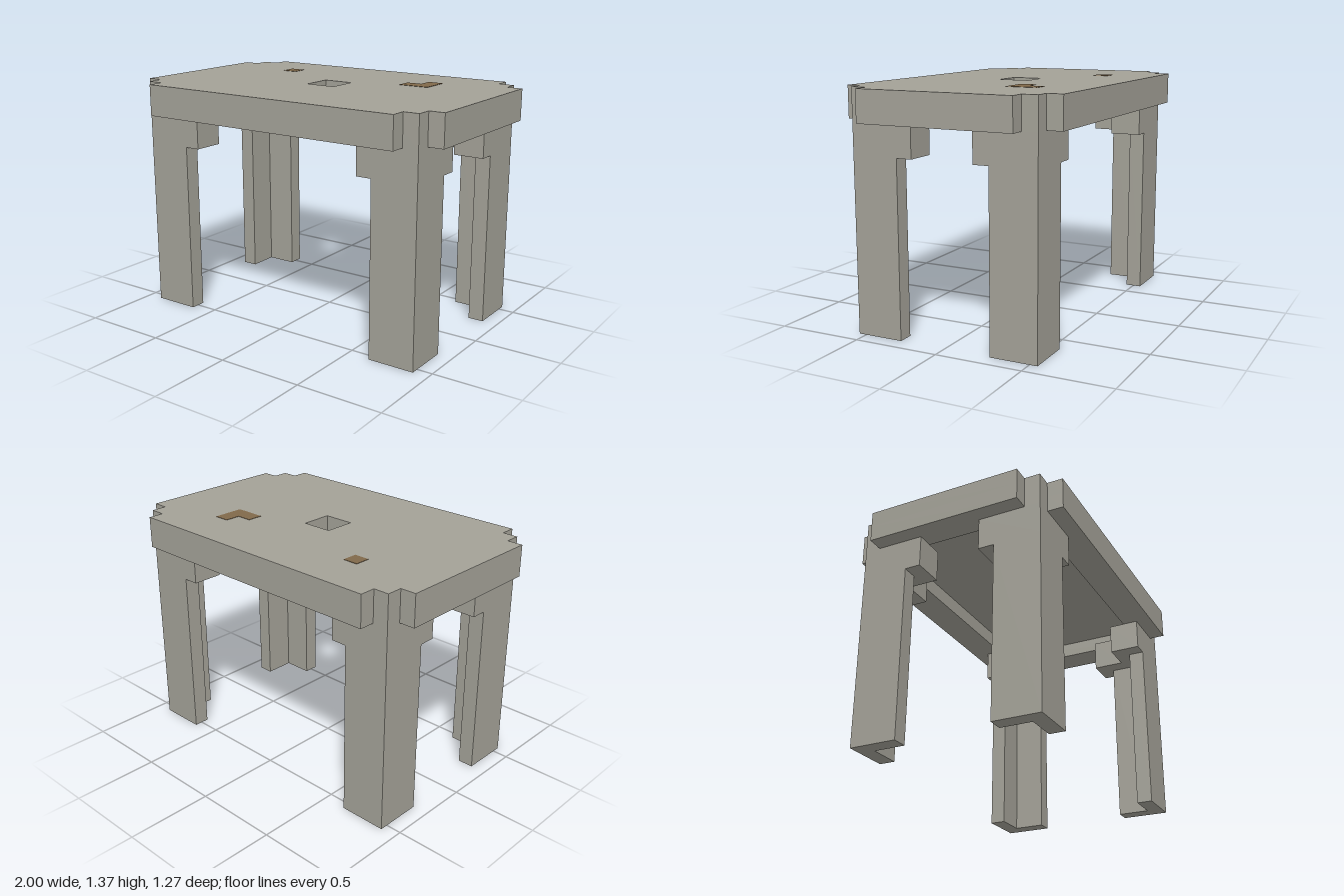
import * as THREE from 'three';

const U = 1 / 11; // one block

export function createModel() {
  const model = new THREE.Group();
  const stone = new THREE.MeshStandardMaterial({ color: 0xa3a197 });
  stone.name = 'grey stone';
  const brown = new THREE.MeshStandardMaterial({ color: 0x80694a });
  brown.name = 'brown stain';

  const toVectors = (points) => points.map(([x, z]) => new THREE.Vector2(x * U, z * U));
  const rect = (x, z) => [[-x, -z], [x, -z], [x, z], [-x, z]];

  // Extrudes a plan outline (x, z in blocks) between two heights
  function slab(name, outline, hole, bottom, top, parent = model) {
    const shape = new THREE.Shape(toVectors(outline));
    if (hole) shape.holes.push(new THREE.Path(toVectors(hole)));
    const geometry = new THREE.ExtrudeGeometry(shape, { depth: (top - bottom) * U, bevelEnabled: false });
    geometry.rotateX(Math.PI / 2).translate(0, top * U, 0);
    const mesh = new THREE.Mesh(geometry, stone);
    mesh.name = name;
    parent.add(mesh);
  }

  // Table top with stepped corners and a square centre hole, over a deep rim
  const step = [[11, 5], [10, 5], [10, 6], [9, 6], [9, 7]];
  const half = [...step, ...step.map(([x, z]) => [-x, z]).reverse()];
  const outline = [...half, ...half.map(([x, z]) => [-x, -z])];
  slab('tableTop', outline, rect(1, 1), 14, 15);
  slab('rim', outline, rect(9, 5), 13, 14);

  // Angle-shaped legs, each with a thicker bracket beneath the rim
  const angle = (length, thick, sx, sz) => [
    [10, 6], [10 - length, 6], [10 - length, 6 - thick],
    [10 - thick, 6 - thick], [10 - thick, 6 - length], [10, 6 - length],
  ].map(([x, z]) => [x * sx, z * sz]);
  for (const sx of [1, -1]) {
    for (const sz of [1, -1]) {
      const leg = new THREE.Group();
      leg.name = (sz > 0 ? 'front' : 'back') + (sx > 0 ? 'Left' : 'Right') + 'Leg';
      slab('post', angle(3, 1, sx, sz), null, 0, 11, leg);
      slab('bracket', angle(4, 2, sx, sz), null, 11, 13, leg);
      model.add(leg);
    }
  }

  // Brown stains: thin plates on the top, one also showing beneath
  const stains = [[-6, -4, 15], [5, -4, 15], [5, -3, 15], [4, -3, 15], [5, -4, 14]];
  for (const [x, z, y] of stains) {
    const stain = new THREE.Mesh(new THREE.BoxGeometry(U, 0.004, U), brown);
    stain.name = 'stain';
    stain.position.set((x + 0.5) * U, y * U, (z + 0.5) * U);
    model.add(stain);
  }
  return model;
}
